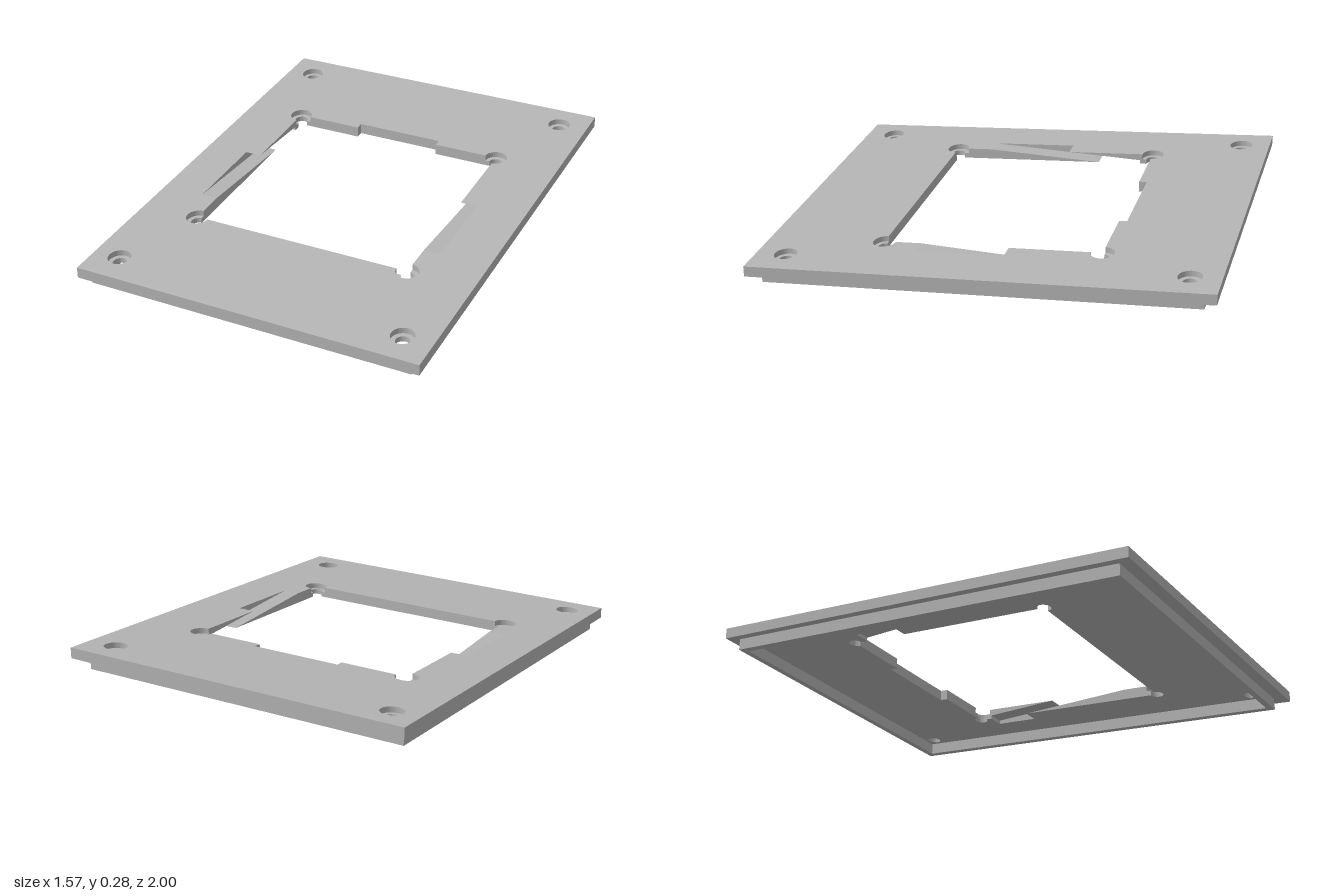
import * as THREE from 'three';
import { toCreasedNormals } from 'three/addons/utils/BufferGeometryUtils.js';

const SLOPE = 0.09;                 // rise per unit towards the back
const TOP = 0.185, STEP = 0.16, UNDER = 0.137, BASE = 0.085;   // heights at z = 0
const LEFT = -0.52, RIGHT = 0.49, FRONT = -0.475, BACK = 0.48; // window, in s = -z
const SLOT = { width: 0.075, floor: 0.157, ceiling: 0.192, back: 0.42 };
SLOT.front = (SLOT.floor - TOP) / SLOPE;

function rect(path, x0, x1, s0, s1) {
  path.moveTo(x0, s0);
  path.lineTo(x1, s0);
  path.lineTo(x1, s1);
  path.lineTo(x0, s1);
  path.closePath();
  return path;
}

// Window outline with round corner reliefs, side slots and a back notch
function windowPath(r) {
  const p = new THREE.Path();
  const corner = (x, s, a) => p.absarc(x, s, r, a, a + Math.PI * 1.5, false);
  const line = (pts) => pts.forEach(([x, s]) => p.lineTo(x, s));
  const { width: w, front: f, back: b } = SLOT;
  p.moveTo(RIGHT - r, FRONT);
  corner(RIGHT, FRONT, Math.PI);
  line([[RIGHT, f], [RIGHT + w, f], [RIGHT + w, b], [RIGHT, b]]);
  corner(RIGHT, BACK, Math.PI * 1.5);
  line([[0.19, BACK], [0.19, 0.515], [-0.215, 0.515], [-0.215, BACK]]);
  corner(LEFT, BACK, 0);
  line([[LEFT, b], [LEFT - w, b], [LEFT - w, f], [LEFT, f]]);
  corner(LEFT, FRONT, Math.PI / 2);
  p.closePath();
  return p;
}

// Extrude a plan upwards, then shear it so that it slopes but keeps upright sides
function slopedPlate(shape, y0, y1) {
  const g = new THREE.ExtrudeGeometry(shape, { depth: y1 - y0, bevelEnabled: false, curveSegments: 32 });
  g.rotateX(-Math.PI / 2).translate(0, y0, 0);
  const pos = g.attributes.position;
  for (let i = 0; i < pos.count; i++) pos.setY(i, pos.getY(i) - SLOPE * pos.getZ(i));
  return toCreasedNormals(g, 0.5);
}

// One layer of the plate, with corner and window holes of radius r
function plateLayer(r, y0, y1) {
  const shape = rect(new THREE.Shape(), -0.787, 0.785, -1, 1);
  shape.holes.push(windowPath(r));
  for (const x of [-0.665, 0.652]) {
    for (const s of [-0.865, 0.87]) {
      shape.holes.push(new THREE.Path().absarc(x, s, r, 0, Math.PI * 2, true));
    }
  }
  return slopedPlate(shape, y0, y1);
}

// Wedge with a side profile in (s, y), as wide as a slot
function wedge(points, x) {
  const shape = new THREE.Shape(points.map(([s, y]) => new THREE.Vector2(s, y)));
  const g = new THREE.ExtrudeGeometry(shape, { depth: SLOT.width, bevelEnabled: false });
  return g.rotateY(Math.PI / 2).translate(x, 0, 0);
}

export function createModel() {
  const group = new THREE.Group();
  const grey = new THREE.MeshStandardMaterial({ color: 0xb4b4b4 });
  grey.name = 'grey';
  const add = (name, geometry) => {
    const mesh = new THREE.Mesh(geometry, grey);
    mesh.name = name;
    group.add(mesh);
  };

  // Plate in two layers, so the screw holes are counterbored
  add('plateTop', plateLayer(0.05, STEP, TOP));
  add('plateBottom', plateLayer(0.03, UNDER, STEP));

  // Thin rim standing under the plate
  const rim = rect(new THREE.Shape(), -0.755, 0.73, -0.945, 0.945);
  rim.holes.push(rect(new THREE.Path(), -0.725, 0.7, -0.915, 0.915));
  add('rim', slopedPlate(rim, BASE, UNDER));

  // Level slots cut through the sloping window sides leave a wedge above and below
  const { floor, ceiling, front, back, width } = SLOT;
  const above = [[back, TOP + SLOPE * back], [(ceiling - TOP) / SLOPE, ceiling], [back, ceiling]];
  const below = [[front, floor], [front, UNDER + SLOPE * front], [(floor - UNDER) / SLOPE, floor]];
  for (const [side, x] of [['left', RIGHT], ['right', LEFT - width]]) {
    add(side + 'SlotRoof', wedge(above, x));
    add(side + 'SlotFloor', wedge(below, x));
  }
  return group;
}
